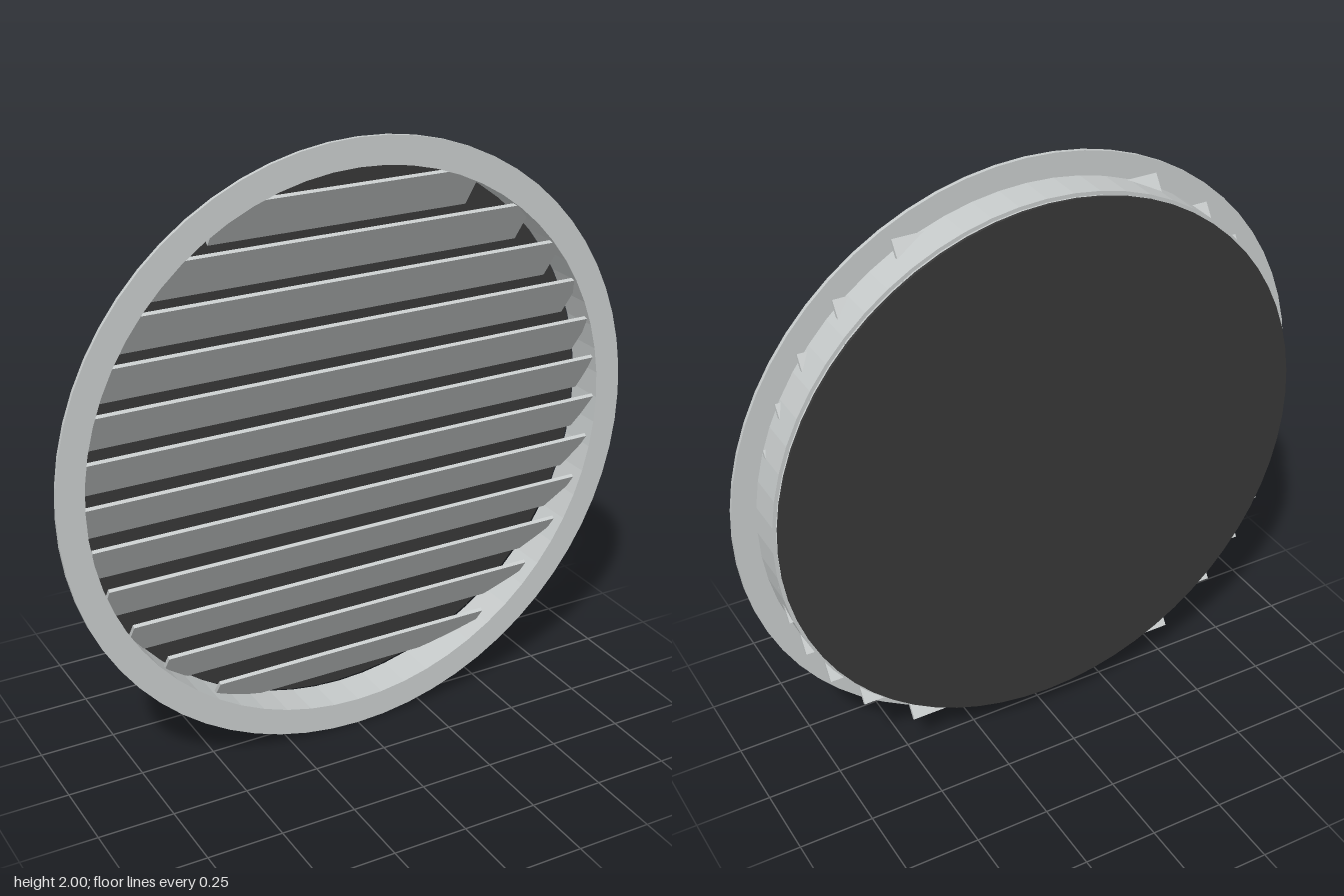
import * as THREE from 'three';

const steel = new THREE.MeshStandardMaterial({ color: 0xc6caca });
steel.name = 'steel';
const mesh = new THREE.MeshStandardMaterial({ color: 0x363636 });
mesh.name = 'dark screen';

// Flat ring facing +z, spanning z0..z1
function ring(name, outer, inner, z0, z1) {
  const shape = new THREE.Shape().absarc(0, 0, outer, 0, Math.PI * 2, false);
  shape.holes.push(new THREE.Path().absarc(0, 0, inner, 0, Math.PI * 2, true));
  const geo = new THREE.ExtrudeGeometry(shape, { depth: z1 - z0, bevelEnabled: false, curveSegments: 32 });
  const part = new THREE.Mesh(geo, steel);
  part.name = name;
  part.position.set(0, 1, z0);
  return part;
}

export function createModel() {
  const group = new THREE.Group();
  group.name = 'roundLouvreVent';

  // Front flange and the sleeve behind it
  group.add(ring('flange', 1, 0.91, 0.063, 0.076));
  group.add(ring('sleeve', 0.922, 0.91, -0.058, 0.063));

  // Slats: front edge up, each cut to the chord at its height
  const slats = new THREE.Group();
  slats.name = 'slats';
  const count = 12, pitch = 0.1422, tilt = THREE.MathUtils.degToRad(35);
  for (let i = 0; i < count; i++) {
    const y = (i - (count - 1) / 2) * pitch;
    const half = Math.sqrt(0.912 ** 2 - (y + 0.015) ** 2);
    const slat = new THREE.Mesh(new THREE.BoxGeometry(half * 2, 0.175, 0.012), steel);
    slat.name = 'slat' + (i + 1);
    slat.position.set(0, 1 + y, 0.006);
    slat.rotation.x = tilt;
    slats.add(slat);
  }
  group.add(slats);

  // Dark screen disc, just clear of the sleeve
  const screen = new THREE.Mesh(new THREE.CylinderGeometry(0.912, 0.912, 0.009, 64), mesh);
  screen.name = 'backScreen';
  screen.rotation.x = Math.PI / 2;
  screen.position.set(0, 1, -0.0715);
  group.add(screen);

  return group;
}
